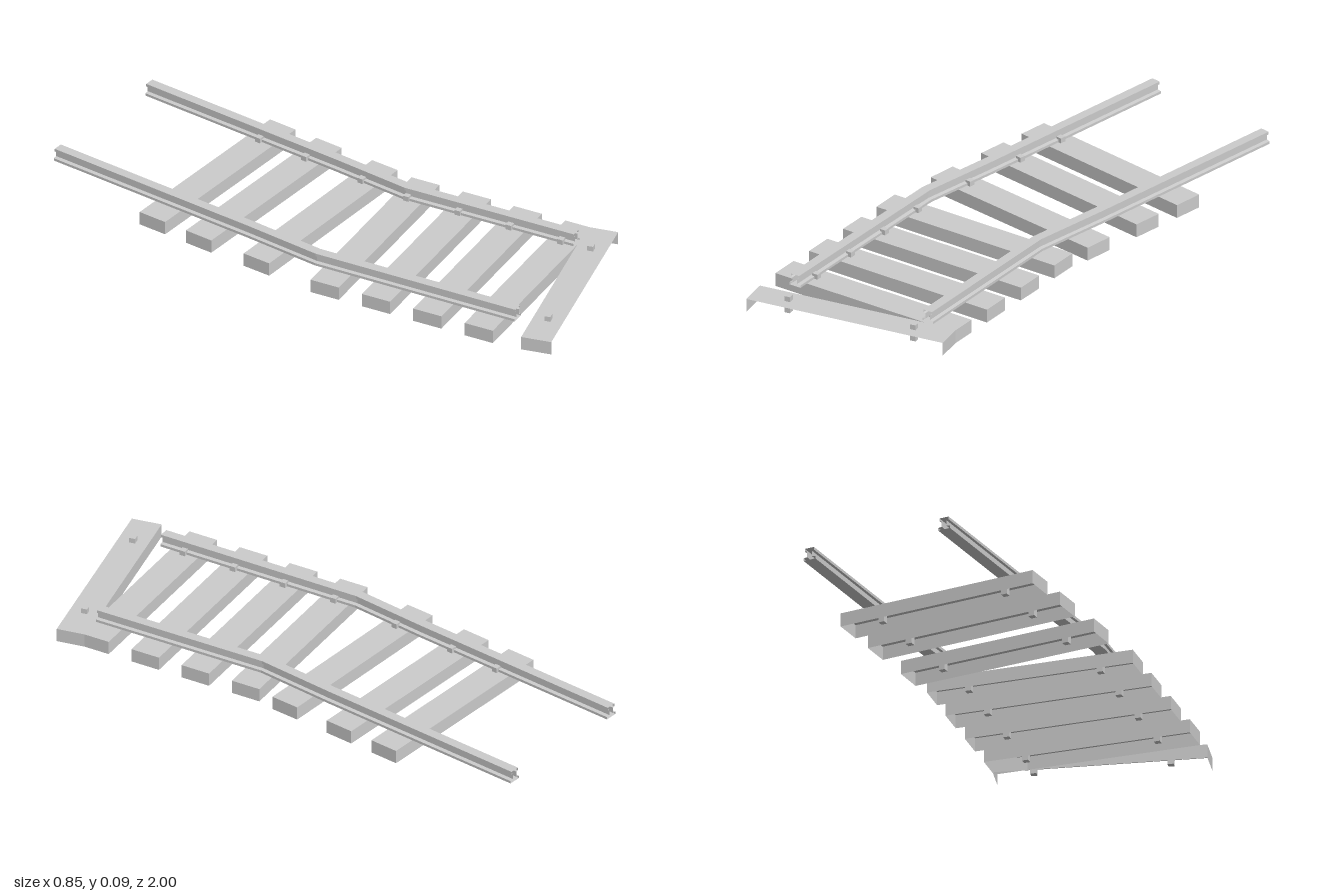
import * as THREE from 'three';

const mat = new THREE.MeshStandardMaterial({ color: 0xcccccc, flatShading: true, side: THREE.DoubleSide });

const LENGTH = 0.72, WIDTH = 0.105, HEIGHT = 0.048;

// Box with chosen faces left out (order: +x, -x, +y, -y, +z, -z)
function openBox(w, h, d, skip) {
  const g = new THREE.BoxGeometry(w, h, d);
  const idx = Array.from(g.index.array).filter((_, i) => !skip.includes(Math.floor(i / 6)));
  g.setIndex(idx);
  g.clearGroups();
  return g;
}

// Half of the I-shaped rail section (half width, height), bottom to top
const half = [[0.022, 0.048], [0.022, 0.057], [0.009, 0.059], [0.009, 0.079], [0.017, 0.081], [0.017, 0.091]];
const section = [...half, ...half.map(([x, y]) => [-x, y]).reverse()];

// Sweep the section along a flat path of [x, z] points, ends left open
function railGeometry(path) {
  const rings = path.map(([x, z], i) => {
    const a = path[Math.max(i - 1, 0)], b = path[Math.min(i + 1, path.length - 1)];
    const t = new THREE.Vector2(b[0] - a[0], b[1] - a[1]).normalize();
    return section.map(([s, y]) => [x + s * t.y, y, z - s * t.x]);
  });
  const pos = [];
  for (let i = 0; i < rings.length - 1; i++) {
    for (let j = 0; j < section.length; j++) {
      const k = (j + 1) % section.length;
      const a = rings[i][j], b = rings[i][k], c = rings[i + 1][k], d = rings[i + 1][j];
      pos.push(...a, ...b, ...c, ...a, ...c, ...d);
    }
  }
  const g = new THREE.BufferGeometry();
  g.setAttribute('position', new THREE.Float32BufferAttribute(pos, 3));
  g.computeVertexNormals();
  return g;
}

export function createModel() {
  const root = new THREE.Group();
  root.name = 'brokenTrack';

  const add = (parent, name, geometry, x = 0, y = 0, z = 0) => {
    const m = new THREE.Mesh(geometry, mat);
    m.name = name;
    m.position.set(x, y, z);
    parent.add(m);
  };

  // Sleepers: centre x, centre z, turn about y
  const sleepers = [
    [-0.065, -0.528, 0], [-0.065, -0.337, 0], [-0.065, -0.102, 0.011],
    [-0.06, 0.119, 0.162], [-0.029, 0.308, 0.162], [0, 0.498, 0.162],
    [0.03, 0.688, 0.162], [0.066, 0.829, 0.33],
  ];
  sleepers.forEach(([x, z, turn], i) => {
    const g = new THREE.Group();
    g.name = 'sleeperWithSpikes';
    g.position.set(x, 0, z);
    g.rotation.y = turn;
    // Hollow underneath; the loose last one also lacks its front wall
    const skip = i === sleepers.length - 1 ? [3, 4] : [3];
    add(g, 'sleeper', openBox(LENGTH, HEIGHT, WIDTH, skip), 0, HEIGHT / 2, 0);
    // Spikes beside the inner edge of each rail
    for (const s of [-1, 1]) {
      add(g, 'spike', new THREE.BoxGeometry(0.021, 0.06, 0.021), s * 0.23, 0.036, 0);
    }
    root.add(g);
  });

  // Rails, straight at the back and bent toward the front
  add(root, 'rightRail', railGeometry([[-0.317, -1], [-0.317, -0.2], [-0.322, 0.08], [-0.206, 0.818]]));
  add(root, 'leftRail', railGeometry([[0.188, -1], [0.188, -0.22], [0.183, 0.07], [0.286, 0.692]]));

  return root;
}
